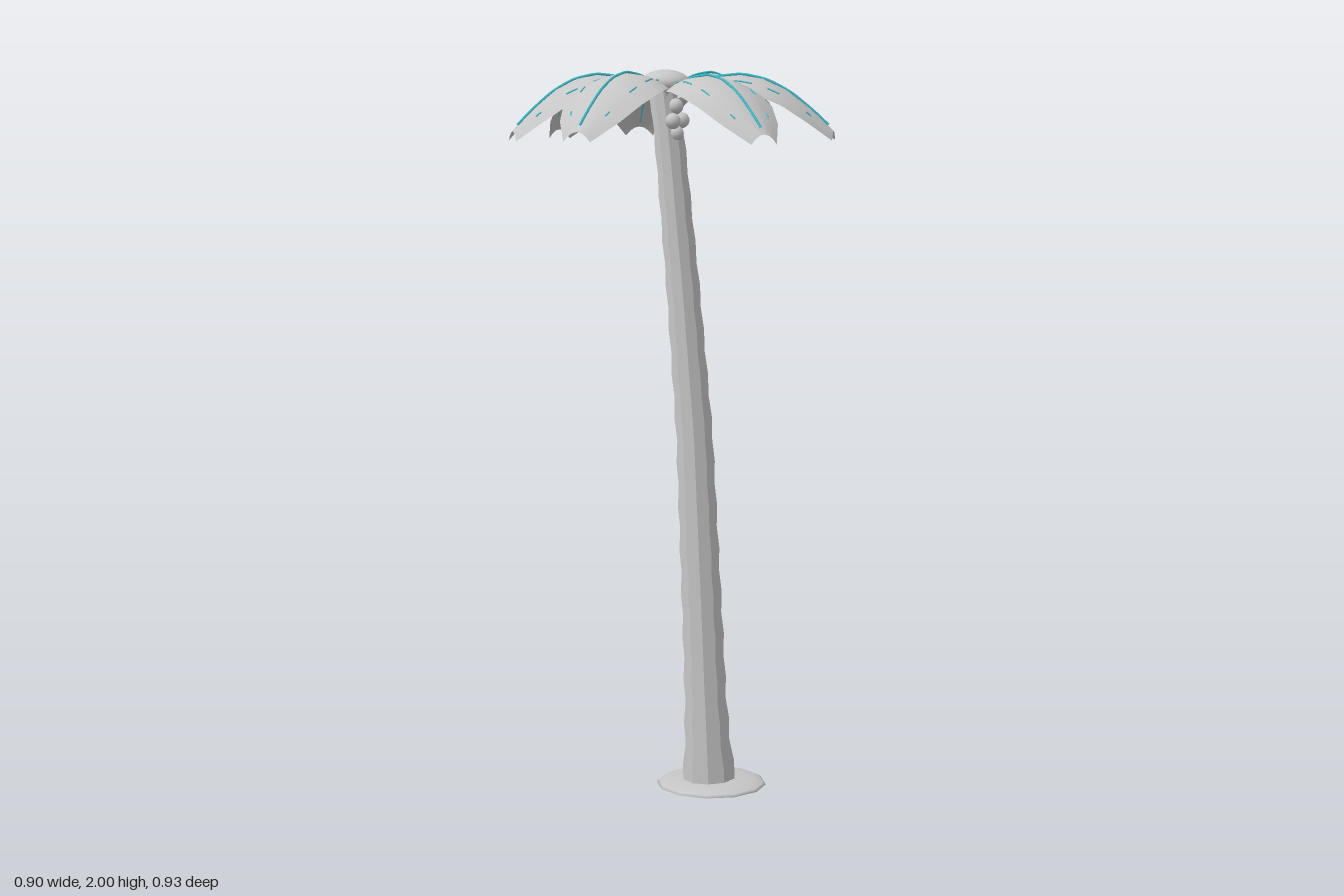
import * as THREE from 'three';

const grey = new THREE.MeshStandardMaterial({ name: 'plainGrey', color: 0xc6c6c6, side: THREE.DoubleSide });
const teal = new THREE.MeshStandardMaterial({ name: 'teal', color: 0x3cc0ce });

const CROWN = [-0.015, -0.03]; // x, z of the crown centre

function add(parent, name, geometry, material, x = 0, y = 0, z = 0) {
  const mesh = new THREE.Mesh(geometry, material);
  mesh.name = name;
  mesh.position.set(x, y, z);
  parent.add(mesh);
  return mesh;
}

// linear lookup in a list of [position, value] pairs
function lookup(table, t) {
  let i = 1;
  while (i < table.length - 1 && t > table[i][0]) i++;
  const [a, va] = table[i - 1], [b, vb] = table[i];
  return va + (vb - va) * (t - a) / (b - a);
}

// leaf shape by fraction of length: midrib height and half width
const ribHeight = [[0, 1.935], [0.1, 1.948], [0.2, 1.966], [0.32, 1.98], [0.45, 1.985],
  [0.58, 1.975], [0.72, 1.945], [0.86, 1.895], [1, 1.834]];
const halfWidth = [[0, 0.02], [0.1, 0.033], [0.2, 0.055], [0.32, 0.097], [0.45, 0.122],
  [0.58, 0.13], [0.72, 0.118], [0.86, 0.09], [1, 0.04]];

function leafPoint(t, s, length, lift = 0) {
  const w = lookup(halfWidth, t);
  const droop = (0.018 + 0.2 * w) * s * s;
  return new THREE.Vector3(t * length, lookup(ribHeight, t) - droop + lift, s * w);
}

function leafBlade(length) {
  const across = 6, pos = [], index = [];
  ribHeight.forEach(([t], i) => {
    for (let j = 0; j <= across; j++) {
      pos.push(...leafPoint(t, j / across * 2 - 1, length).toArray());
      if (i && j) {
        const d = i * (across + 1) + j, c = d - 1, b = d - across - 1, a = b - 1;
        index.push(a, b, c, b, d, c);
      }
    }
  });
  const g = new THREE.BufferGeometry();
  g.setAttribute('position', new THREE.Float32BufferAttribute(pos, 3));
  g.setIndex(index);
  g.computeVertexNormals();
  return g;
}

// thin tube resting on the blade from t0 to t1
function vein(length, s, t0, t1, radius, lift, steps, sides) {
  const pts = [];
  for (let i = 0; i <= steps; i++) pts.push(leafPoint(t0 + (t1 - t0) * i / steps, s, length, lift));
  return new THREE.TubeGeometry(new THREE.CatmullRomCurve3(pts), steps * 2, radius, sides);
}

// leaning ten-sided trunk; the flat normals of the plain prism are kept along each strip
function trunkGeometry() {
  const centreX = [[0, 0.143], [0.4, 0.127], [1, 0.098], [1.4, 0.058], [1.8, 0.012], [1.96, -0.012]];
  const centreZ = [[0, -0.027], [0.3, -0.02], [1, -0.014], [1.96, -0.016]];
  const radius = [[0, 0.077], [0.1, 0.066], [0.25, 0.059], [1, 0.051], [1.96, 0.04]];
  const height = 1.96, rows = 32;
  const g = new THREE.CylinderGeometry(1, 1, height, 10, rows).toNonIndexed();
  g.computeVertexNormals();
  g.translate(0, height / 2, 0);
  const p = g.attributes.position;
  for (let i = 0; i < p.count; i++) {
    const y = p.getY(i), row = Math.round(y / height * rows);
    const r = lookup(radius, y) * (row % 2 ? 1.04 : 0.96);
    p.setXYZ(i, p.getX(i) * r + lookup(centreX, y), y, p.getZ(i) * r * 1.08 + lookup(centreZ, y));
  }
  return g;
}

export function createModel() {
  const model = new THREE.Group();
  model.name = 'palmTree';

  // low mound with a flat underside
  const mound = add(model, 'mound', new THREE.SphereGeometry(0.155, 12, 5, 0, Math.PI * 2, 0, Math.PI / 2), grey, 0.145, 0, -0.033);
  mound.scale.y = 0.14;
  add(model, 'moundUnderside', new THREE.CircleGeometry(0.155, 12).rotateX(Math.PI / 2), grey, 0.145, 0, -0.033);

  add(model, 'trunk', trunkGeometry(), grey);

  // crown hub
  const hub = add(model, 'crownHub', new THREE.SphereGeometry(0.07, 24, 14), grey, CROWN[0], 1.962, CROWN[1]);
  hub.scale.y = 0.54;

  // leaves: direction x, z, length, height offset
  const leaves = [[14, -176, 0.434, 0.005], [170, -85, 0.467, 0], [183, 72, 0.483, -0.002],
    [29, 197, 0.489, 0.005], [-103, 144, 0.435, 0], [-174, -27, 0.433, -0.005], [-134, -130, 0.459, 0]];
  const dashes = [[0.24, 0.36], [0.43, 0.54], [0.63, 0.7], [0.85, 0.88]];
  leaves.forEach(([dx, dz, length, lift]) => {
    const leaf = new THREE.Group();
    leaf.name = 'leaf';
    leaf.position.set(CROWN[0], lift, CROWN[1]);
    leaf.rotation.y = -Math.atan2(dz, dx);
    add(leaf, 'leafBlade', leafBlade(length), grey);
    add(leaf, 'midrib', vein(length, 0, 0.08, 0.97, 0.0037, 0.003, 12, 5), teal);
    // broken side veins
    for (const side of [-0.62, 0.62])
      for (const [a, b] of dashes) add(leaf, 'sideVein', vein(length, side, a, b, 0.002, 0.001, 3, 12), teal);
    model.add(leaf);
  });

  // nuts under the crown
  for (const [x, y, z] of [[0.042, 1.86, 0.012], [0.042, 1.862, -0.029], [0.038, 1.826, -0.008], [0.035, 1.9, -0.01]])
    add(model, 'nut', new THREE.SphereGeometry(0.022, 14, 10), grey, x, y, z);

  return model;
}
